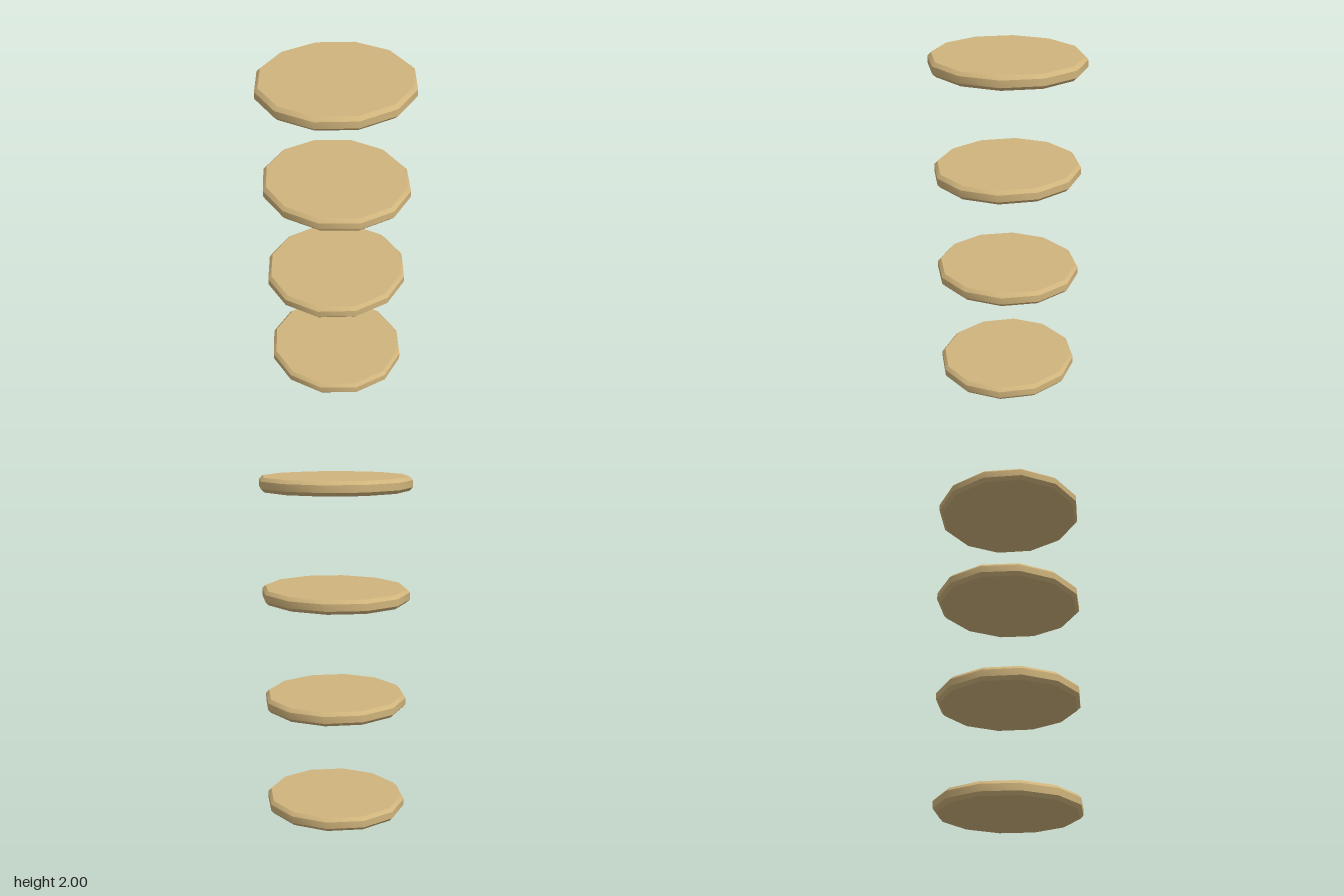
import * as THREE from 'three';
import { toCreasedNormals } from 'three/addons/utils/BufferGeometryUtils.js';

export function createModel() {
  const group = new THREE.Group();
  const tan = new THREE.MeshStandardMaterial({ color: 0xd0b47c });
  tan.name = 'tan';

  // unit-radius disc profile with a bevelled rim above and below
  const profile = [[0, 0], [0.955, 0], [1, 0.02], [1, 0.06], [0.955, 0.08], [0, 0.08]]
    .map(([r, y]) => new THREE.Vector2(r, y));

  // stack of slightly oval discs, bottom to top: [x radius, z radius]
  const radii = [[0.425, 0.41], [0.42, 0.427], [0.442, 0.42], [0.438, 0.449]];
  radii.forEach(([rx, rz], i) => {
    const lathe = new THREE.LatheGeometry(profile, 12);
    lathe.scale(rx, 1, rz);
    const disc = new THREE.Mesh(toCreasedNormals(lathe, 0.65), tan);
    disc.name = `disc${i + 1}`;
    disc.position.y = i * 0.64;
    group.add(disc);
  });
  return group;
}
